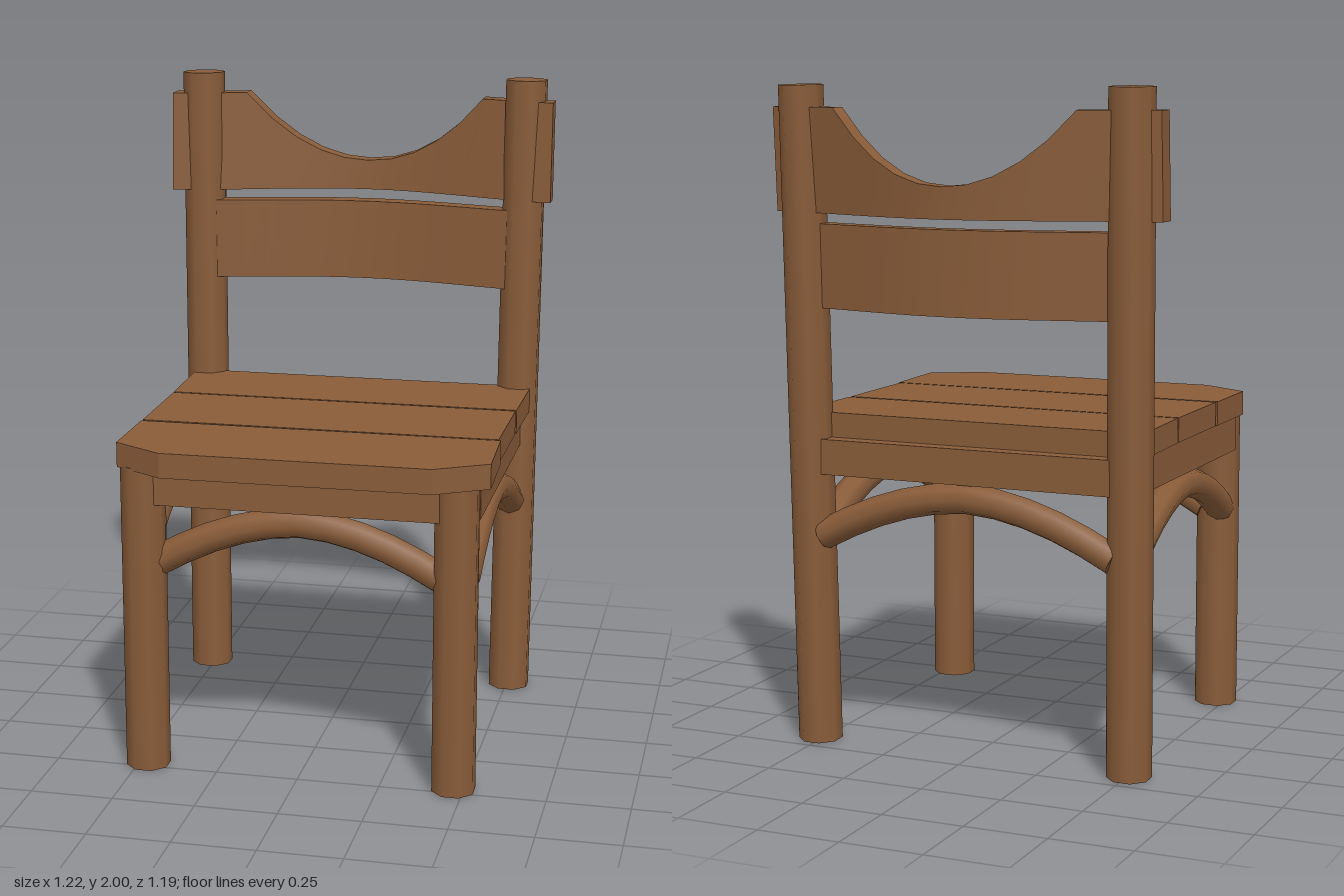
import * as THREE from 'three';

const wood = new THREE.MeshStandardMaterial({ color: 0x895c39 });
wood.name = 'brownWood';

function add(group, name, geometry) {
  const mesh = new THREE.Mesh(geometry, wood);
  mesh.name = name;
  group.add(mesh);
  return mesh;
}

// Eight-sided log running from point a to point b
function log(group, name, a, b, radius = 0.067) {
  const from = new THREE.Vector3(...a), to = new THREE.Vector3(...b);
  const axis = to.clone().sub(from);
  const geometry = new THREE.CylinderGeometry(radius, radius, axis.length(), 8);
  geometry.rotateY(Math.PI / 8);
  const mesh = add(group, name, geometry);
  mesh.position.copy(from).add(to).multiplyScalar(0.5);
  mesh.quaternion.setFromUnitVectors(new THREE.Vector3(0, 1, 0), axis.normalize());
}

// Box given by its minimum and maximum corners
function box(group, name, min, max) {
  const size = max.map((v, i) => v - min[i]);
  const mesh = add(group, name, new THREE.BoxGeometry(...size));
  mesh.position.set(...max.map((v, i) => (v + min[i]) / 2));
}

// Board bowed backwards in plan, with a top edge given as a function of x
function bentBoard(group, name, { halfWidth, bottom, top, endZ, bow, thickness, lean }) {
  const geometry = new THREE.BoxGeometry(halfWidth * 2, 1, 1, 16, 1, 1);
  const p = geometry.attributes.position;
  for (let i = 0; i < p.count; i++) {
    const x = p.getX(i);
    const y = p.getY(i) > 0 ? top(Math.abs(x)) : bottom;
    const back = endZ - bow * (0.5 + 0.5 * Math.cos((Math.PI * x) / 0.7));
    const z = back + (p.getZ(i) > 0 ? thickness : 0) - lean * (y - bottom);
    p.setXYZ(i, x, y, z);
  }
  geometry.computeVertexNormals();
  add(group, name, geometry);
}

// Seat plank: plan outline as [x, z] points, extruded upwards
function plank(group, name, outline) {
  const shape = new THREE.Shape(outline.map(([x, z]) => new THREE.Vector2(x, -z)));
  const geometry = new THREE.ExtrudeGeometry(shape, { depth: 0.075, bevelEnabled: false });
  geometry.rotateX(-Math.PI / 2);
  add(group, name, geometry).position.y = 0.943;
}

// Arched round brace with capped ends; point(t) gives [x, z] for t from -1 to 1
function brace(group, name, point) {
  const points = [];
  for (let i = 0; i <= 8; i++) {
    const t = i / 4 - 1;
    const [x, z] = point(t);
    points.push(new THREE.Vector3(x, 0.793 - 0.145 * Math.pow(Math.abs(t), 1.8), z));
  }
  const curve = new THREE.CatmullRomCurve3(points);
  const arch = new THREE.Group();
  arch.name = name;
  add(arch, 'braceArch', new THREE.TubeGeometry(curve, 10, 0.046, 8, false));
  for (const end of [0, 1]) {
    const cap = add(arch, 'braceEnd', new THREE.CircleGeometry(0.046, 8));
    cap.position.copy(curve.getPointAt(end));
    const out = curve.getTangentAt(end).multiplyScalar(end ? 1 : -1);
    cap.quaternion.setFromUnitVectors(new THREE.Vector3(0, 0, 1), out);
  }
  group.add(arch);
}

export function createModel() {
  const chair = new THREE.Group();
  chair.name = 'chair';

  // Legs, side rails and side braces, mirrored
  for (const s of [-1, 1]) {
    const side = s > 0 ? 'left' : 'right';
    log(chair, side + 'FrontLeg', [s * 0.47, 0, 0.472], [s * 0.47, 0.95, 0.472]);
    log(chair, side + 'BackPost', [s * 0.508, 0.002, -0.412], [s * 0.522, 1.995, -0.458]);
    const inner = s * 0.45, outer = s * 0.535;
    box(chair, side + 'SeatRail',
      [Math.min(inner, outer), 0.836, -0.4], [Math.max(inner, outer), 0.943, 0.45]);
    brace(chair, side + 'Brace', (t) => [s * (0.497 - 0.008 * t), 0.03 + 0.41 * t]);
  }

  // Front and back rails and braces
  box(chair, 'frontSeatRail', [-0.45, 0.836, 0.43], [0.45, 0.943, 0.515]);
  box(chair, 'backSeatRail', [-0.5, 0.836, -0.47], [0.5, 0.943, -0.385]);
  brace(chair, 'frontBrace', (t) => [0.43 * t, 0.46]);
  brace(chair, 'backBrace', (t) => [0.47 * t, -0.445]);

  // Three seat planks, the front one with clipped corners
  plank(chair, 'backPlank', [[-0.54, -0.11], [0.557, -0.112], [0.56, -0.42], [-0.55, -0.42]]);
  plank(chair, 'middlePlank', [[-0.538, 0.24], [0.553, 0.237], [0.555, -0.103], [-0.54, -0.103]]);
  plank(chair, 'frontPlank', [
    [-0.54, 0.25], [-0.54, 0.502], [-0.385, 0.592], [0.415, 0.588], [0.57, 0.498], [0.56, 0.244],
  ]);

  // Bowed backrest boards, the upper one scooped along its top
  bentBoard(chair, 'middleSlat', {
    halfWidth: 0.51, bottom: 1.337, top: () => 1.588,
    endZ: -0.436, bow: 0.105, thickness: 0.06, lean: 0.02,
  });
  bentBoard(chair, 'topRail', {
    halfWidth: 0.612, bottom: 1.62,
    top: (x) => (x > 0.38 ? 1.93 : 1.713 + 0.217 * Math.pow(x / 0.383, 2.1)),
    endZ: -0.442, bow: 0.15, thickness: 0.062, lean: 0.06,
  });

  return chair;
}
